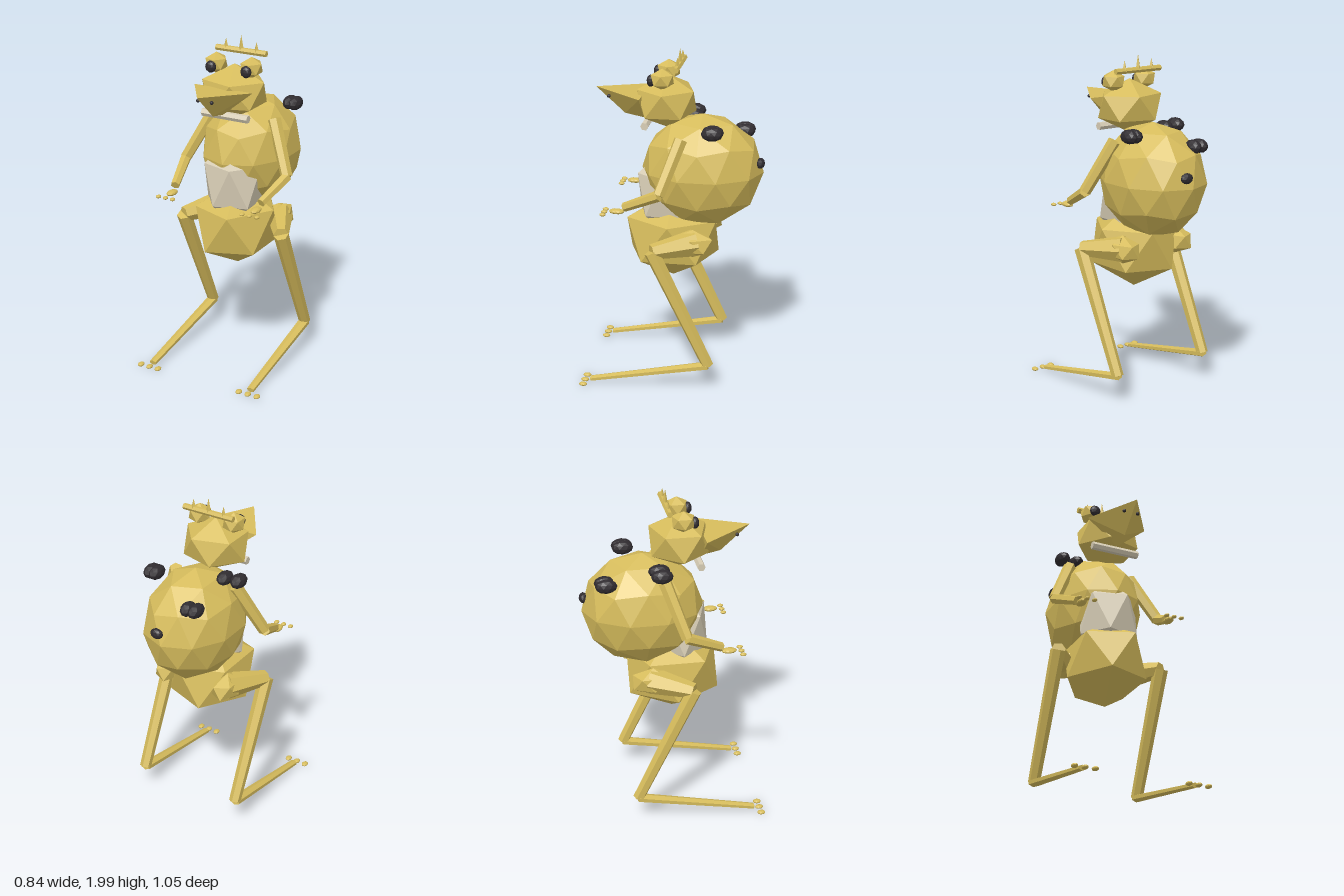
import * as THREE from 'three';
import { ConvexGeometry } from 'three/addons/geometries/ConvexGeometry.js';

const paint = (name, color) => {
  const m = new THREE.MeshStandardMaterial({ color, flatShading: true });
  m.name = name;
  return m;
};

export function createModel() {
  const gold = paint('gold skin', 0xd6bc5c);
  const cream = paint('cream', 0xd8ceb6);
  const dark = paint('charcoal', 0x302c30);
  const model = new THREE.Group();
  model.name = 'frog';

  const add = (name, geometry, material, parent = model) => {
    const mesh = new THREE.Mesh(geometry, material);
    mesh.name = name;
    parent.add(mesh);
    return mesh;
  };

  // Faceted ellipsoid standing on one of its corners
  const blob = (name, pos, radii, material, detail = 1, parent = model) => {
    const g = new THREE.IcosahedronGeometry(1, detail);
    g.rotateZ(-Math.atan(2 / (1 + Math.sqrt(5))));
    g.scale(...radii);
    const mesh = add(name, g, material, parent);
    mesh.position.set(...pos);
    return mesh;
  };

  // Tapered six-sided rod from a to b
  const rod = (name, a, b, ra, rb, material, parent = model, flat = 1) => {
    const start = new THREE.Vector3(...a), end = new THREE.Vector3(...b);
    const dir = end.clone().sub(start);
    const mesh = add(name, new THREE.CylinderGeometry(rb, ra, dir.length(), 6), material, parent);
    mesh.position.copy(start).add(end).multiplyScalar(0.5);
    mesh.quaternion.setFromUnitVectors(new THREE.Vector3(0, 1, 0), dir.normalize());
    mesh.scale.z = flat;
    return mesh;
  };

  // Trunk
  blob('body', [0, 1.28, -0.16], [0.283, 0.34, 0.36], gold);
  blob('belly', [0, 1.135, 0.06], [0.2, 0.265, 0.185], cream, 0);
  blob('hips', [0, 0.863, 0.015], [0.268, 0.263, 0.312], gold, 0);
  rod('collar', [-0.15, 1.568, 0.16], [0.15, 1.568, 0.16], 0.024, 0.024, cream);

  // Head and pointed snout
  blob('head', [0, 1.69, 0.053], [0.215, 0.16, 0.195], gold, 0);
  add('snout', new ConvexGeometry([
    [0, 1.755, 0.47], [-0.19, 1.735, 0.183], [0.19, 1.735, 0.183],
    [0, 1.602, 0.3], [0, 1.58, 0.19],
  ].map((p) => new THREE.Vector3(...p))), gold);

  // Crown
  rod('crownBand', [-0.165, 1.908, -0.025], [0.165, 1.908, -0.025], 0.018, 0.018, gold);
  for (const [x, top] of [[-0.1, 1.97], [0, 2], [0.1, 1.97]]) {
    const h = top - 1.905;
    add('crownSpike', new THREE.ConeGeometry(0.018, h, 4), gold)
      .position.set(x, 1.905 + h / 2, -0.025);
  }

  // Paired features
  for (const s of [-1, 1]) {
    const side = new THREE.Group();
    side.name = s > 0 ? 'leftSide' : 'rightSide';
    model.add(side);

    // Face
    blob('eye', [s * 0.115, 1.843, 0.06], [0.07, 0.063, 0.075], gold, 0, side);
    blob('pupil', [s * 0.115, 1.833, 0.126], [0.034, 0.036, 0.024], dark, 1, side);
    blob('nostril', [s * 0.044, 1.712, 0.387], [0.011, 0.011, 0.011], dark, 1, side);

    // Arm, palm and fingers
    const elbow = [s * 0.34, 1.22, 0.045];
    rod('upperArm', [s * 0.2, 1.515, -0.06], elbow, 0.04, 0.035, gold, side);
    rod('forearm', elbow, [s * 0.287, 1.12, 0.257], 0.033, 0.027, gold, side);
    blob('palm', [s * 0.28, 1.09, 0.302], [0.028, 0.016, 0.046], gold, 1, side);
    for (const x of [-0.048, 0, 0.048])
      blob('finger', [s * 0.279 + x, 1.082, 0.376], [0.015, 0.01, 0.019], gold, 1, side);

    // Leg, foot and toes
    const knee = [s * 0.332, 0.87, 0.09], ankle = [s * 0.33, 0.165, -0.245];
    blob('haunch', [s * 0.2, 0.885, -0.13], [0.085, 0.085, 0.14], gold, 0, side);
    rod('thigh', [s * 0.2, 0.89, -0.14], knee, 0.08, 0.045, gold, side);
    rod('shin', knee, ankle, 0.045, 0.035, gold, side);
    rod('foot', ankle, [s * 0.338, 0.027, 0.465], 0.036, 0.024, gold, side, 0.65);
    for (const x of [-0.06, 0, 0.06])
      blob('toe', [s * 0.34 + x, 0.018, 0.5], [0.019, 0.012, 0.025], gold, 1, side);
  }

  // Warts on the back: x, y, z, then radii
  const warts = [
    [0.208, 1.57, -0.245, 0.04, 0.042, 0.064], [0.243, 1.57, -0.245, 0.04, 0.042, 0.064],
    [-0.155, 1.495, -0.39, 0.04, 0.042, 0.064], [-0.105, 1.495, -0.395, 0.04, 0.042, 0.06],
    [-0.24, 1.57, -0.082, 0.044, 0.042, 0.064], [-0.15, 1.565, -0.085, 0.044, 0.04, 0.064],
    [0.035, 1.345, -0.503, 0.04, 0.032, 0.026],
  ];
  for (const [x, y, z, ...r] of warts) blob('wart', [x, y, z], r, dark);

  return model;
}
